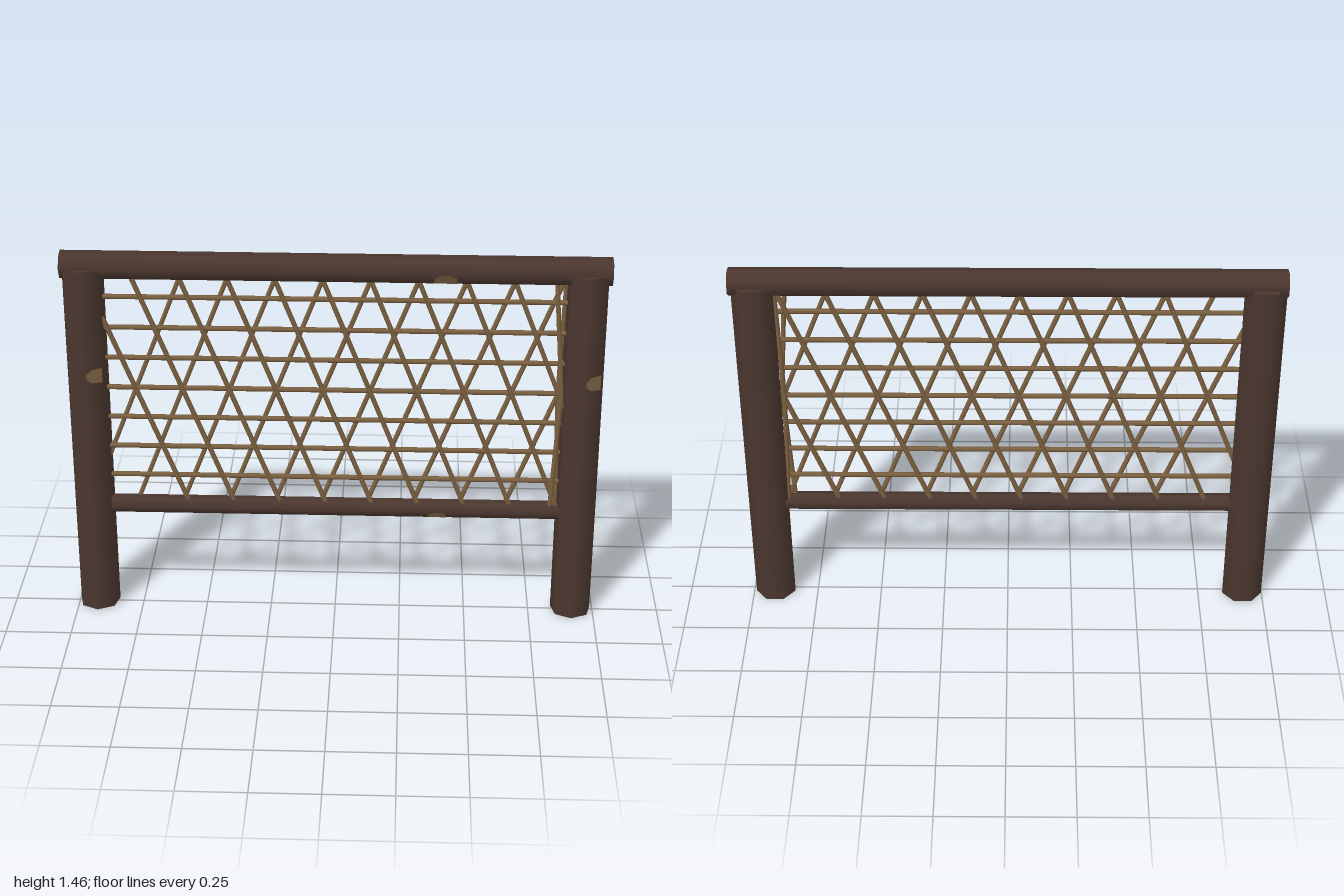
import * as THREE from 'three';

const SIDES = 7;
const Z = -0.004; // heptagons are deeper at the front corner
const bark = new THREE.MeshStandardMaterial({ color: 0x4b372f });
bark.name = 'dark bark';
const cane = new THREE.MeshStandardMaterial({ color: 0x7c6141 });
cane.name = 'tan cane';

// Seven-sided log along local y, with a thin bare-wood chip on its first facet
function log(name, radius, length, chipY, chipHalf) {
  const group = new THREE.Group();
  group.name = name;
  const body = new THREE.Mesh(new THREE.CylinderGeometry(radius, radius, length, SIDES), bark);
  body.name = name + 'Body';
  group.add(body);

  const half = Math.PI / SIDES;
  const w = 2 * radius * Math.sin(half), h = chipHalf;
  const shape = new THREE.Shape([
    [0.5, -1], [0.5, 1], [-0.1, 0.9], [-0.4, 0.35], [-0.4, -0.35], [-0.1, -0.9],
  ].map(([u, v]) => new THREE.Vector2(u * w, v * h)));
  const chip = new THREE.Mesh(new THREE.ShapeGeometry(shape), cane);
  chip.name = name + 'Chip';
  const d = radius * Math.cos(half) + 0.001;
  chip.position.set(d * Math.sin(half), chipY, d * Math.cos(half));
  chip.rotation.y = half;
  group.add(chip);
  return group;
}

// Straight thin rod between two points
function rod(name, a, b, radius = 0.0095) {
  const from = new THREE.Vector3(...a), to = new THREE.Vector3(...b);
  const dir = to.clone().sub(from);
  const mesh = new THREE.Mesh(new THREE.CylinderGeometry(radius, radius, dir.length(), 6), cane);
  mesh.name = name;
  mesh.position.copy(from).add(to).multiplyScalar(0.5);
  mesh.quaternion.setFromUnitVectors(new THREE.Vector3(0, 1, 0), dir.normalize());
  return mesh;
}

export function createModel() {
  const model = new THREE.Group();
  model.name = 'latticeFence';

  // Posts
  for (const [name, x] of [['rightPost', -0.922], ['leftPost', 0.915]]) {
    const post = log(name, 0.0784, 1.405, 0.288, 0.029);
    post.position.set(x, 0.7025, Z);
    model.add(post);
  }

  // Rails, turned so the chip faces front and down
  const rails = [
    ['topRail', 0.053, 2, 1.408, 0, 0.4, 0.044],
    ['lowerRail', 0.0355, 1.705, 0.432, -0.002, 0.39, 0.036],
  ];
  for (const [name, r, len, y, x, chipX, chipHalf] of rails) {
    const rail = log(name, r, len, chipX, chipHalf);
    rail.rotation.z = -Math.PI / 2;
    rail.position.set(x, y, Z);
    model.add(rail);
  }

  // Lattice: level canes
  const lattice = new THREE.Group();
  lattice.name = 'lattice';
  lattice.position.z = Z;
  model.add(lattice);
  for (let i = 0; i < 7; i++) {
    const y = 0.557 + i * 0.1213;
    lattice.add(rod('levelCane', [-0.86, y, 0], [0.855, y, 0]));
  }

  // Lattice: slanted canes, cut off inside the posts
  const yTop = 1.375, yBottom = 0.455, run = 0.362, pitch = 0.1745;
  const slanted = (name, top, lean, z) => {
    const at = (t) => [top + lean * run * t, yTop + (yBottom - yTop) * t, z];
    const hits = [-0.855, 0.85].map((x) => (x - top) / (lean * run)).sort((a, b) => a - b);
    lattice.add(rod(name, at(Math.max(0, hits[0])), at(Math.min(1, hits[1]))));
  };
  for (let k = -1; k <= 8; k++) {
    slanted('leftLeaningCane', -0.747 + k * pitch, 1, 0.01);
    slanted('rightLeaningCane', -0.737 + (k + 2) * pitch, -1, -0.01);
  }

  // Lattice: bent canes pressed against the left post
  for (const [z, end, mid] of [[0.012, 0.802, 0.838], [-0.012, 0.838, 0.826]]) {
    lattice.add(rod('bentCane', [end, yTop, z], [mid, 0.92, z]));
    lattice.add(rod('bentCane', [mid, 0.92, z], [z > 0 ? 0.815 : end, yBottom, z]));
  }
  return model;
}
